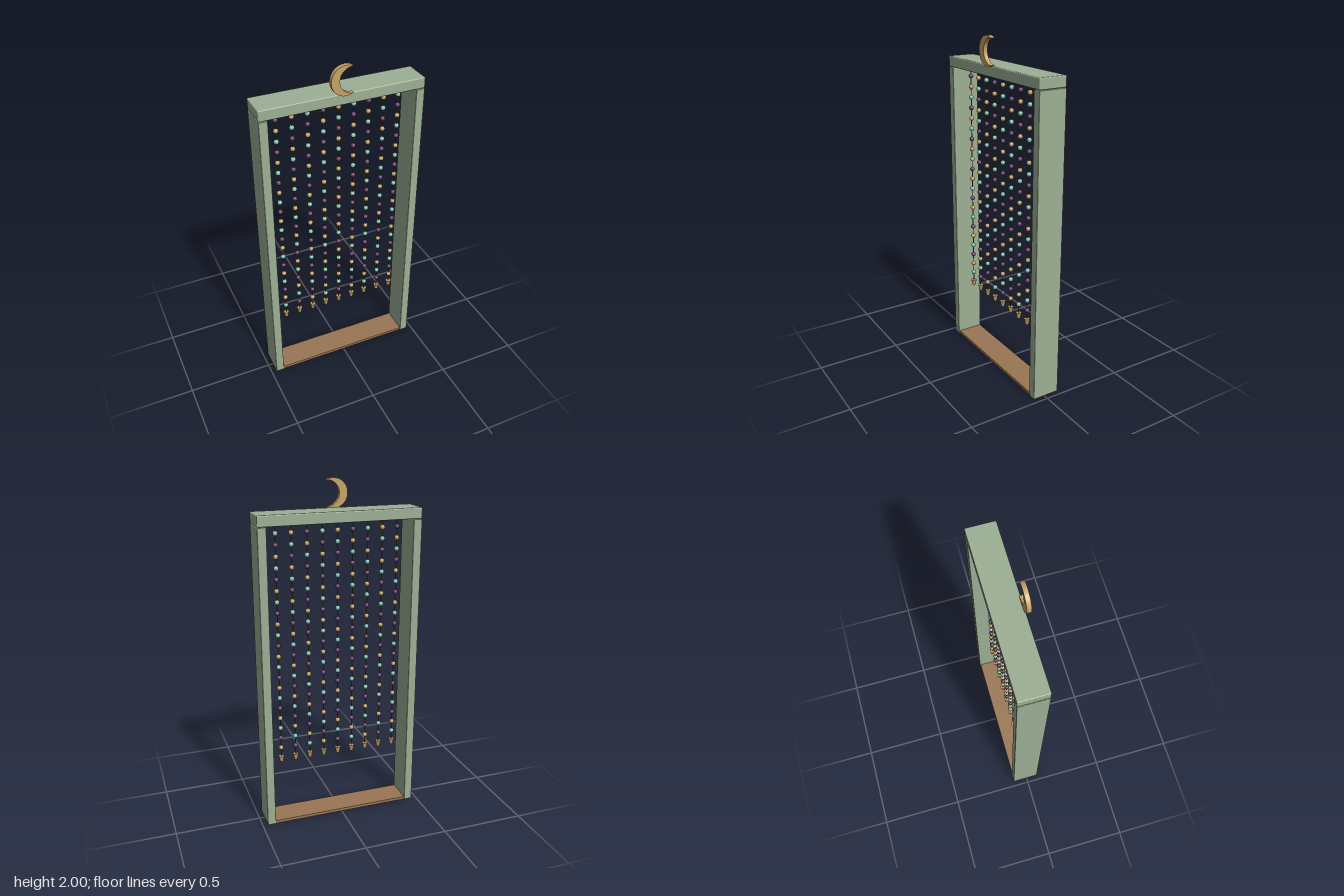
import * as THREE from 'three';
import { RoundedBoxGeometry } from 'three/addons/geometries/RoundedBoxGeometry.js';

const mat = (name, color) => {
  const m = new THREE.MeshStandardMaterial({ color });
  m.name = name;
  return m;
};

export function createModel() {
  const root = new THREE.Group();
  root.name = 'beadedDoorway';
  const sage = mat('sagePaint', 0x9caf94);
  const wood = mat('wood', 0x9a7654);
  const gold = mat('gold', 0xc6a266);
  const purple = mat('purpleBead', 0x6c3f6c);
  const teal = mat('tealBead', 0x86c2ae);
  const cordMat = mat('cord', 0x6a553c);
  const zMid = -0.01;

  const add = (parent, name, geometry, material, x, y, z) => {
    const mesh = new THREE.Mesh(geometry, material);
    mesh.name = name;
    mesh.position.set(x, y, z);
    parent.add(mesh);
    return mesh;
  };

  // Door frame
  const post = new RoundedBoxGeometry(0.05, 1.775, 0.166, 2, 0.004);
  add(root, 'leftPost', post, sage, 0.445, 0.8875, zMid);
  add(root, 'rightPost', post, sage, -0.445, 0.8875, zMid);
  add(root, 'lintel', new RoundedBoxGeometry(0.94, 0.062, 0.166, 2, 0.006), sage, 0, 1.808, zMid);
  add(root, 'threshold', new THREE.BoxGeometry(0.842, 0.018, 0.156), wood, 0, 0.009, zMid);

  // Crescent: outer arc the long way round, inner arc back between the tips
  const R = 0.083, r = 0.072, cx = 0.037;
  const tipX = (R * R - r * r + cx * cx) / (2 * cx);
  const tipY = Math.sqrt(R * R - tipX * tipX);
  const a = Math.atan2(tipY, tipX), b = Math.atan2(tipY, tipX - cx);
  const crescent = new THREE.Shape();
  crescent.absarc(0, 0, R, a, Math.PI * 2 - a, false);
  crescent.absarc(cx, 0, r, Math.PI * 2 - b, b, true);
  const moon = new THREE.ExtrudeGeometry(crescent, { depth: 0.025, bevelEnabled: false, curveSegments: 32 });
  add(root, 'crescentMoon', moon, gold, -0.002, 1.917, 0.065);

  // Hanging strands of beads with tapered end weights
  const bead = new THREE.SphereGeometry(0.0142, 14, 10);
  const cord = new THREE.CylinderGeometry(0.003, 0.003, 1.39, 6);
  const weight = new THREE.CylinderGeometry(0.017, 0.01, 0.036, 10);
  const beadColours = [purple, gold, teal];
  for (let i = 0; i < 9; i++) {
    const strand = new THREE.Group();
    strand.name = 'beadStrand' + (i + 1);
    strand.position.set((i - 4) * 0.0886, 0, zMid);
    root.add(strand);
    add(strand, 'cord', cord, cordMat, 0, 1.088, 0);
    for (let j = 0; j < 21; j++) {
      add(strand, 'bead', bead, beadColours[(i + j) % 3], 0, 1.728 - j * 0.0634, 0);
    }
    add(strand, 'endWeight', weight, gold, 0, 0.388, 0);
  }
  return root;
}
